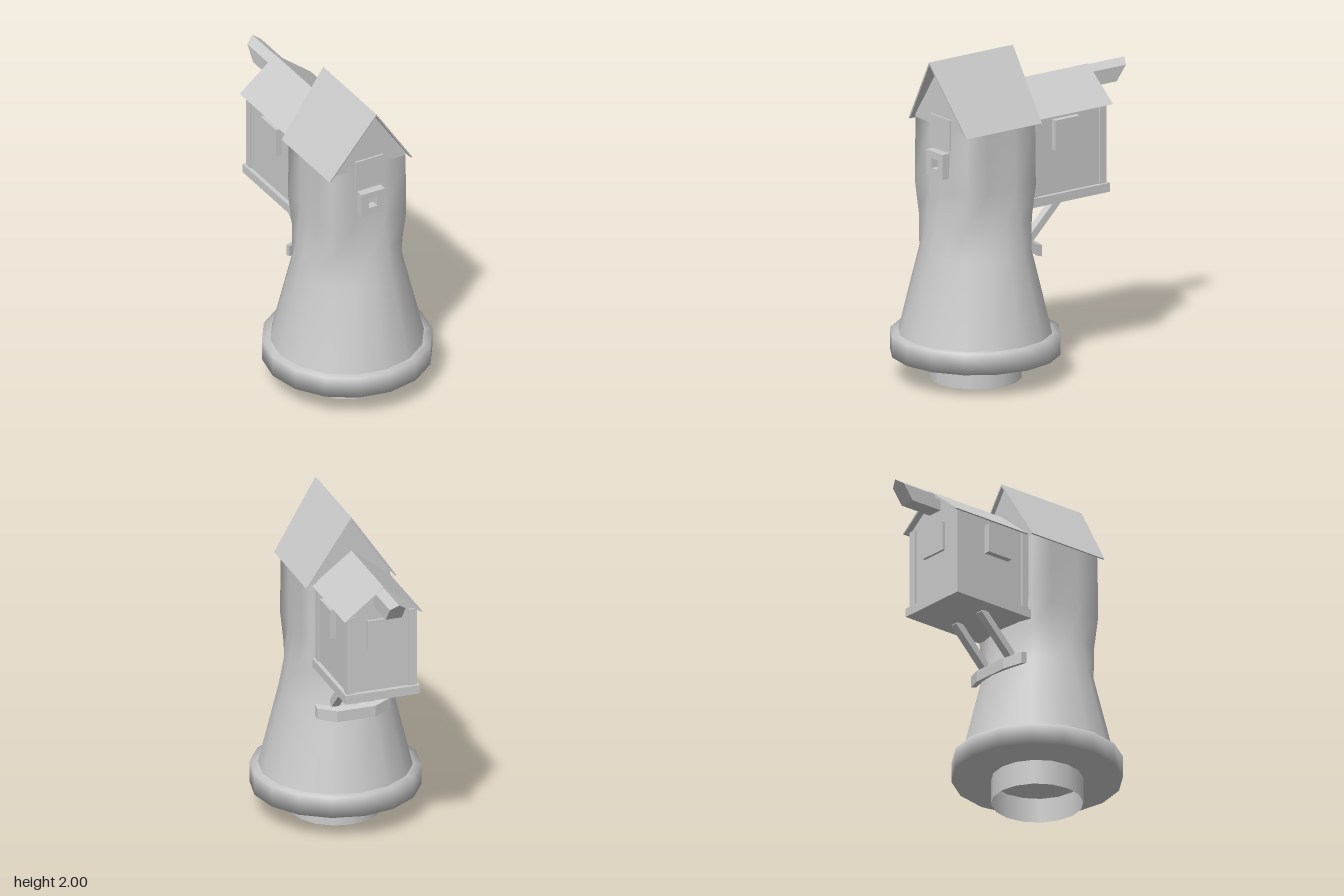
import * as THREE from 'three';

const mat = new THREE.MeshStandardMaterial({ color: 0xcccccc });
const matDouble = new THREE.MeshStandardMaterial({ color: 0xcccccc, side: THREE.DoubleSide });
const SIDES = 16;
const TOWER_Z = 0.3;

export function createModel() {
  const group = new THREE.Group();

  const add = (name, geometry, material = mat) => {
    const mesh = new THREE.Mesh(geometry, material);
    mesh.name = name;
    group.add(mesh);
    return mesh;
  };
  // Box given by its ranges along each axis
  const box = (name, x0, x1, y0, y1, z0, z1) =>
    add(name, new THREE.BoxGeometry(x1 - x0, y1 - y0, z1 - z0))
      .position.set((x0 + x1) / 2, (y0 + y1) / 2, (z0 + z1) / 2);
  const shapeOf = pts => new THREE.Shape(pts.map(p => new THREE.Vector2(...p)));
  // Prism along z whose two ends may slope with height
  const prism = (name, pts, back, front) => {
    const g = new THREE.ExtrudeGeometry(shapeOf(pts), { depth: 1, bevelEnabled: false });
    const p = g.attributes.position;
    for (let i = 0; i < p.count; i++) {
      const y = p.getY(i);
      p.setZ(i, p.getZ(i) > 0.5 ? front(y) : back(y));
    }
    g.computeVertexNormals();
    return add(name, g);
  };
  // House-shaped and roof-shaped outlines
  const house = (w, y0, eave, ridge) => [[-w, y0], [w, y0], [w, eave], [0, ridge], [-w, eave]];
  const chevron = (w, eave, ridge, t) =>
    [[-w, eave], [-w + t, eave], [0, ridge - t * 1.4], [w - t, eave], [w, eave], [0, ridge]];

  // Hollow foot and the wide round platform
  const foot = add('foot', new THREE.CylinderGeometry(0.275, 0.275, 0.155, SIDES, 1, true), matDouble);
  foot.position.set(0, 0.0775, TOWER_Z);
  const rim = [[0, 0.155], [0.51, 0.155], [0.51, 0.285], [0.44, 0.285]];
  add('platform', new THREE.LatheGeometry(rim.map(p => new THREE.Vector2(...p)), SIDES))
    .position.z = TOWER_Z;

  // Tower body, blending from a round base to a square top
  const rings = [[0.28, 0.461, 0], [0.8, 0.335, 0], [1.0, 0.29, 0.4], [1.2, 0.256, 1], [1.59, 0.253, 1]];
  const pos = [], idx = [];
  rings.forEach(([y, r, square], j) => {
    for (let i = 0; i < SIDES; i++) {
      const a = (i / SIDES) * Math.PI * 2, s = Math.sin(a), c = Math.cos(a);
      const k = r * THREE.MathUtils.lerp(1, 1 / Math.max(Math.abs(s), Math.abs(c)), square);
      pos.push(s * k, y, TOWER_Z + c * k);
      if (j) {
        const n = (i + 1) % SIDES, lo = (j - 1) * SIDES, hi = j * SIDES;
        idx.push(lo + i, lo + n, hi + n, lo + i, hi + n, hi + i);
      }
    }
  });
  const body = new THREE.BufferGeometry();
  body.setAttribute('position', new THREE.Float32BufferAttribute(pos, 3));
  body.setIndex(idx);
  body.computeVertexNormals();
  add('towerBody', body);

  // Tower gable and its forward-leaning roof
  prism('towerGable', house(0.252, 1.58, 1.62, 1.985), () => 0.047, () => 0.553);
  prism('towerRoof', chevron(0.285, 1.58, 2, 0.012), () => 0.02, y => 0.58 + (y - 1.58) * 0.155);

  // Front window and the hollow box below it
  box('frontWindow', -0.095, 0.095, 1.46, 1.65, 0.54, 0.565);
  const frame = shapeOf([[-0.08, 1.285], [0.08, 1.285], [0.08, 1.44], [-0.08, 1.44]]);
  frame.holes.push(shapeOf([[-0.03, 1.335], [-0.03, 1.395], [0.03, 1.395], [0.03, 1.335]]));
  add('frontBox', new THREE.ExtrudeGeometry(frame, { depth: 0.06, bevelEnabled: false }))
    .position.z = 0.545;

  // Rear cabin: walls, floor, roof
  prism('cabinWalls', house(0.21, 1.06, 1.61, 1.77), () => -0.498, () => 0.04);
  box('cabinFloor', -0.235, 0.235, 1.05, 1.105, -0.525, 0.05);
  prism('cabinRoof', chevron(0.245, 1.59, 1.785, 0.014), () => -0.54, () => 0.02);

  // Ridge beam with a slanted tip
  prism('ridgeBeam', house(0.05, 1.655, 1.745, 1.78), y => -0.715 - (y - 1.655) * 0.76, () => -0.45);

  // Cabin windows, corner posts and struts
  box('cabinBackWindow', -0.09, 0.09, 1.38, 1.565, -0.515, -0.48);
  for (const s of [-1, 1]) {
    const x = s * 0.195;
    box('cabinPost', x - 0.025, x + 0.025, 1.1, 1.6, -0.51, -0.46);
    box('cabinPost', x - 0.025, x + 0.025, 1.1, 1.6, -0.005, 0.042);
    box('cabinSideWindow', s * 0.22 - 0.028, s * 0.22 + 0.028, 1.38, 1.565, -0.29, -0.11);
    const strut = add('strut', new THREE.BoxGeometry(0.05, 0.34, 0.045));
    strut.position.set(s * 0.115, 0.935, -0.118);
    strut.rotation.x = -0.795;
  }

  // Bent bracket that holds the struts against the tower
  const bend = shapeOf([[-0.23, -0.02], [-0.12, -0.07], [0.12, -0.07], [0.23, -0.02],
    [0.23, 0.02], [0.12, -0.025], [-0.12, -0.025], [-0.23, 0.02]]);
  const bracket = new THREE.ExtrudeGeometry(bend, { depth: 0.07, bevelEnabled: false });
  bracket.rotateX(Math.PI / 2);
  const bp = bracket.attributes.position;
  for (let i = 0; i < bp.count; i++) bp.setY(i, bp.getY(i) + 0.815 + bp.getZ(i) * 0.3);
  bracket.computeVertexNormals();
  add('strutBracket', bracket);

  return group;
}
